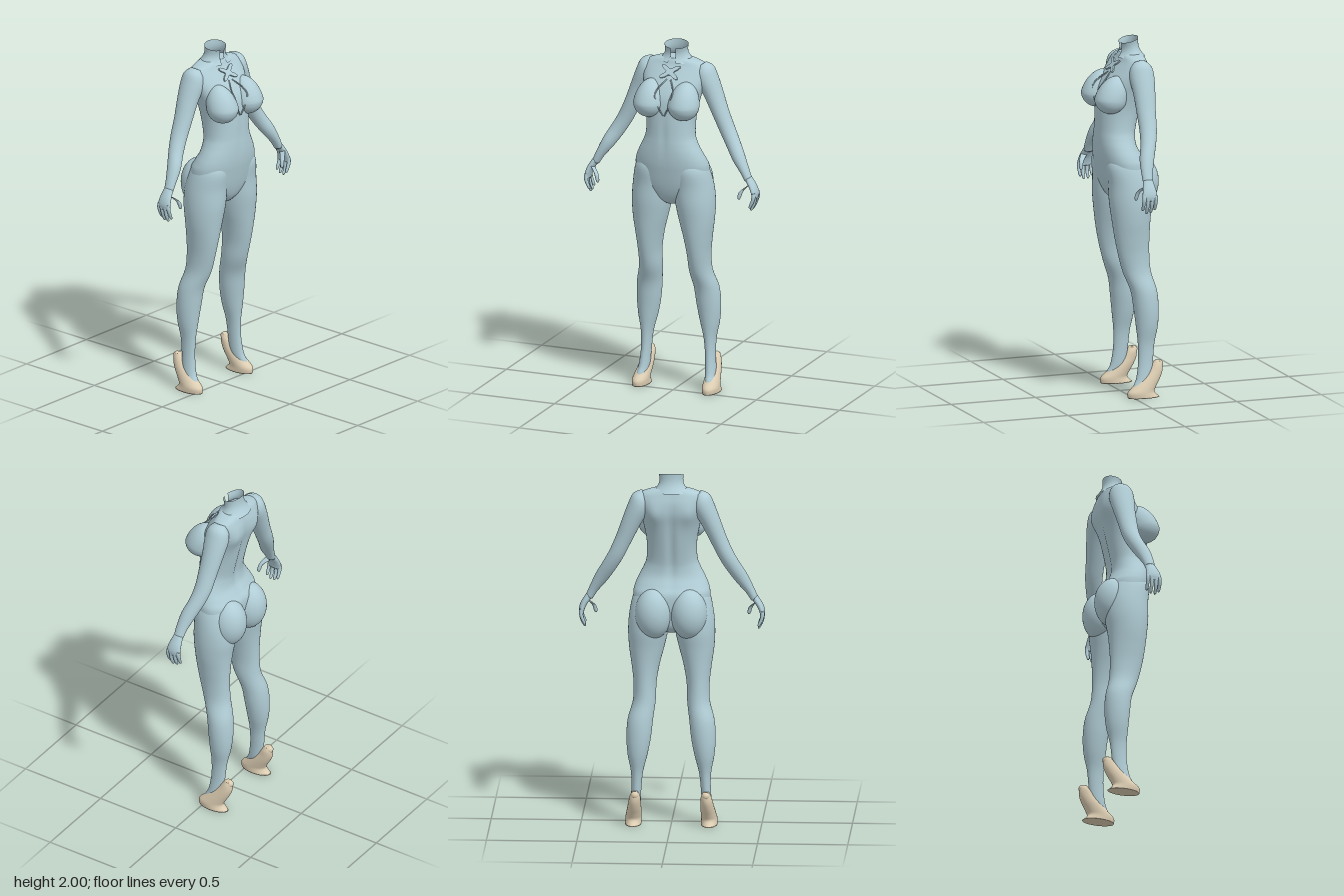
import * as THREE from 'three';

const suit = new THREE.MeshStandardMaterial({ color: 0xb0ccd5, side: THREE.DoubleSide });
suit.name = 'pale blue suit';
const cream = new THREE.MeshStandardMaterial({ color: 0xddceb3 });
cream.name = 'cream shoe';

// Catmull-Rom blend of one column of the section table
function blend(a, b, c, d, t) {
  return 0.5 * (2 * b + (c - a) * t + (2 * a - 5 * b + 4 * c - d) * t * t + (3 * b - a - 3 * c + d) * t * t * t);
}

// Skin over elliptical sections [x, y, z, halfWidth, halfDepth, tilt], listed from bottom to top
function loft(rows, { side = 1, seg = 32, steps = 5, power = 2, warp = null } = {}) {
  const pos = [], idx = [], n = rows.length - 1, rings = n * steps + 1;
  const row = i => rows[Math.min(n, Math.max(0, i))];
  const round = v => Math.sign(v) * Math.pow(Math.abs(v), 2 / power);
  const centre = [];
  for (let r = 0; r < rings; r++) {
    const i = Math.min(n - 1, Math.floor(r / steps)), t = r / steps - i;
    const [x, y, z, a, b, tilt] = [0, 1, 2, 3, 4, 5].map(k =>
      blend(row(i - 1)[k] || 0, row(i)[k] || 0, row(i + 1)[k] || 0, row(i + 2)[k] || 0, t));
    centre.push([x * side, y, z]);
    for (let j = 0; j < seg; j++) {
      const w = j / seg * Math.PI * 2, u = round(Math.cos(w)) * a;
      const p = new THREE.Vector3(x * side + u * Math.cos(tilt), y + u * Math.sin(tilt * side), z + round(Math.sin(w)) * b);
      if (warp) warp(p);
      pos.push(p.x, p.y, p.z);
    }
  }
  for (let r = 0; r < rings - 1; r++) for (let j = 0; j < seg; j++) {
    const a = r * seg + j, b = r * seg + (j + 1) % seg;
    idx.push(a, a + seg, b, b, a + seg, b + seg);
  }
  // end caps
  const base = rings * seg, top = base - seg;
  pos.push(...centre[0], ...centre[rings - 1]);
  for (let j = 0; j < seg; j++) {
    const k = (j + 1) % seg;
    idx.push(base, j, k, base + 1, top + k, top + j);
  }
  const g = new THREE.BufferGeometry();
  g.setAttribute('position', new THREE.Float32BufferAttribute(pos, 3));
  g.setIndex(idx);
  g.computeVertexNormals();
  return g;
}

// Section from its extents: left and right x, front and back z
const span = (y, x0, x1, front, back) => [(x0 + x1) / 2, y, (front + back) / 2, (x1 - x0) / 2, (front - back) / 2, 0];
const bump = (v, c, w) => Math.exp(-(((v - c) / w) ** 2));

export function createModel() {
  const model = new THREE.Group();
  const add = (geometry, material, name, parent = model) => {
    const m = new THREE.Mesh(geometry, material);
    m.name = name;
    parent.add(m);
    return m;
  };

  // Torso with spine groove, shoulder blades and a soft midline
  const torsoRows = [
    [1.09, 0.04, 0.05, -0.07], [1.13, 0.11, 0.085, -0.11], [1.2, 0.2, 0.11, -0.12], [1.3, 0.213, 0.13, -0.125],
    [1.35, 0.203, 0.137, -0.1], [1.4, 0.18, 0.14, -0.075], [1.45, 0.155, 0.14, -0.07], [1.5, 0.14, 0.138, -0.077],
    [1.6, 0.14, 0.135, -0.1], [1.7, 0.158, 0.125, -0.122], [1.77, 0.178, 0.092, -0.138], [1.83, 0.192, 0.048, -0.138],
    [1.875, 0.182, 0.015, -0.128], [1.9, 0.135, 0.004, -0.12], [1.915, 0.07, -0.005, -0.112],
  ].map(([y, w, f, b]) => span(y, -w, w, f, b));
  add(loft(torsoRows, {
    seg: 72, power: 2.2,
    warp: p => {
      if (p.z < -0.03) {
        p.z += 0.014 * bump(p.x, 0, 0.022) * bump(p.y, 1.58, 0.25);
        p.z -= 0.016 * bump(Math.abs(p.x), 0.1, 0.045) * bump(p.y, 1.77, 0.07);
      } else if (p.z > 0.03) p.z -= 0.006 * bump(p.x, 0, 0.018) * bump(p.y, 1.5, 0.12);
    },
  }), suit, 'torso');

  // Stand collar, open at the front and higher at the back
  const collar = new THREE.CylinderGeometry(0.069, 0.069, 1, 40, 8, true, 0.22, Math.PI * 2 - 0.44);
  const cp = collar.attributes.position;
  for (let i = 0; i < cp.count; i++) {
    const t = cp.getY(i) + 0.5, flare = 1 + 0.55 * (1 - t) ** 3 - 0.08 * Math.sin(Math.PI * t);
    const x = cp.getX(i) * flare, z = cp.getZ(i) * flare * 0.76;
    cp.setXYZ(i, x, 1.892 + t * (0.094 - z * 0.27), z - 0.058 + 0.008 * t);
  }
  collar.computeVertexNormals();
  add(collar, suit, 'collar');

  // Crossed clasp below the collar
  const cross = new THREE.Shape();
  for (let k = 0; k <= 48; k++) {
    const w = k / 48 * Math.PI * 2, r = 0.024 + 0.05 * Math.sin(2 * w) ** 4;
    cross[k ? 'lineTo' : 'moveTo'](r * Math.cos(w), r * Math.sin(w) * 0.75);
  }
  const clasp = add(new THREE.ExtrudeGeometry(cross, { depth: 0.008, bevelEnabled: false }), suit, 'claspCross');
  clasp.position.set(0, 1.845, 0.04);
  clasp.rotation.x = -0.63;

  for (const side of [1, -1]) {
    const half = new THREE.Group();
    half.name = side > 0 ? 'leftSide' : 'rightSide';
    model.add(half);
    const part = (rows, name, opts = {}, material = suit) => add(loft(rows, { side, ...opts }), material, name, half);

    // Bust, drawn out toward the collarbone
    const bust = new THREE.SphereGeometry(1, 40, 28);
    const bp = bust.attributes.position;
    for (let i = 0; i < bp.count; i++) {
      const y = bp.getY(i), up = Math.max(0, y);
      bp.setXYZ(i, bp.getX(i) * 0.088 * (1 - 0.1 * up), y * (y > 0 ? 0.125 : 0.085), bp.getZ(i) * 0.09 - up * 0.035);
    }
    bust.computeVertexNormals();
    add(bust, suit, 'bust', half).position.set(0.103 * side, 1.68, 0.095);

    // Raised edge of the keyhole neckline
    const rim = new THREE.CatmullRomCurve3([
      [0.012, 1.81, 0.062], [0.045, 1.765, 0.112], [0.05, 1.73, 0.141], [0.03, 1.67, 0.141], [0.005, 1.62, 0.136],
    ].map(([x, y, z]) => new THREE.Vector3(x * side, y, z)));
    add(new THREE.TubeGeometry(rim, 24, 0.004, 6), suit, 'keyholeEdge', half);

    // Buttock
    const seat = add(new THREE.SphereGeometry(1, 36, 28), suit, 'buttock', half);
    seat.scale.set(0.102, 0.142, 0.105);
    seat.position.set(0.098 * side, 1.2, -0.08);

    // Leg from instep to hip
    part([
      span(0.045, 0.185, 0.232, 0.005, -0.06), span(0.07, 0.178, 0.232, -0.004, -0.09), span(0.11, 0.17, 0.228, -0.022, -0.11),
      span(0.2, 0.165, 0.22, -0.035, -0.12), span(0.3, 0.155, 0.222, -0.035, -0.13), span(0.4, 0.13, 0.24, -0.026, -0.15),
      span(0.5, 0.111, 0.247, -0.015, -0.156), span(0.6, 0.1, 0.24, 0, -0.148), span(0.7, 0.087, 0.213, 0.038, -0.122),
      span(0.8, 0.083, 0.211, 0.065, -0.114), span(0.9, 0.066, 0.222, 0.084, -0.115), span(1.0, 0.04, 0.236, 0.097, -0.122),
      span(1.1, 0.018, 0.241, 0.108, -0.135), span(1.2, 0.008, 0.233, 0.11, -0.13), span(1.3, 0.02, 0.21, 0.118, -0.1),
      span(1.36, 0.06, 0.17, 0.09, -0.06),
    ], 'leg', { seg: 40 });

    // Arm from wrist to shoulder
    part([
      [0.458, 1.27, 0.01, 0.021, 0.028, 0.45], [0.432, 1.32, 0.005, 0.026, 0.033, 0.58], [0.39, 1.388, -0.01, 0.037, 0.042, 0.65],
      [0.345, 1.46, -0.035, 0.041, 0.045, 0.6], [0.305, 1.53, -0.05, 0.043, 0.049, 0.5], [0.263, 1.62, -0.055, 0.046, 0.054, 0.42],
      [0.22, 1.72, -0.06, 0.053, 0.062, 0.36], [0.183, 1.8, -0.06, 0.06, 0.07, 0.38], [0.165, 1.85, -0.06, 0.054, 0.062, 0.5],
      [0.148, 1.882, -0.06, 0.028, 0.035, 0.6],
    ], 'arm');

    // Palm, thumb and curled fingers
    part([
      [0.5, 1.175, 0.014, 0.011, 0.038, 0.05], [0.499, 1.2, 0.014, 0.016, 0.043, 0.15], [0.486, 1.235, 0.013, 0.018, 0.038, 0.35],
      [0.456, 1.28, 0.01, 0.02, 0.028, 0.5],
    ], 'palm');
    part([
      [0.424, 1.168, 0.067, 0.005, 0.005], [0.425, 1.18, 0.067, 0.01, 0.01], [0.434, 1.21, 0.061, 0.012, 0.012, 0.2],
      [0.455, 1.235, 0.044, 0.015, 0.016, 0.5], [0.474, 1.25, 0.025, 0.014, 0.018, 0.5],
    ], 'thumb', { seg: 14 });
    [[0.05, 1.118], [0.028, 1.1], [0.003, 1.103], [-0.02, 1.118]].forEach(([z, tip]) => part([
      [0.481, tip, z, 0.004, 0.004], [0.484, tip + 0.01, z, 0.008, 0.008, -0.2], [0.498, tip + 0.042, z, 0.01, 0.01, -0.2],
      [0.503, 1.185, z * 0.95, 0.011, 0.012, 0], [0.5, 1.205, z * 0.9, 0.01, 0.012, 0.1],
    ], 'finger', { seg: 14 }));

    // Wedge shoe with a round stud at the heel
    part([
      [0.21, 0, -0.06, 0.045, 0.092], [0.21, 0.03, -0.045, 0.045, 0.078], [0.207, 0.06, -0.065, 0.043, 0.068],
      [0.203, 0.1, -0.098, 0.039, 0.058], [0.2, 0.14, -0.127, 0.034, 0.045], [0.197, 0.175, -0.142, 0.029, 0.032],
      [0.197, 0.2, -0.148, 0.018, 0.02],
    ], 'shoe', {}, cream);
    add(new THREE.SphereGeometry(0.021, 20, 14), cream, 'heelStud', half).position.set(0.197 * side, 0.183, -0.157);
  }
  return model;
}
